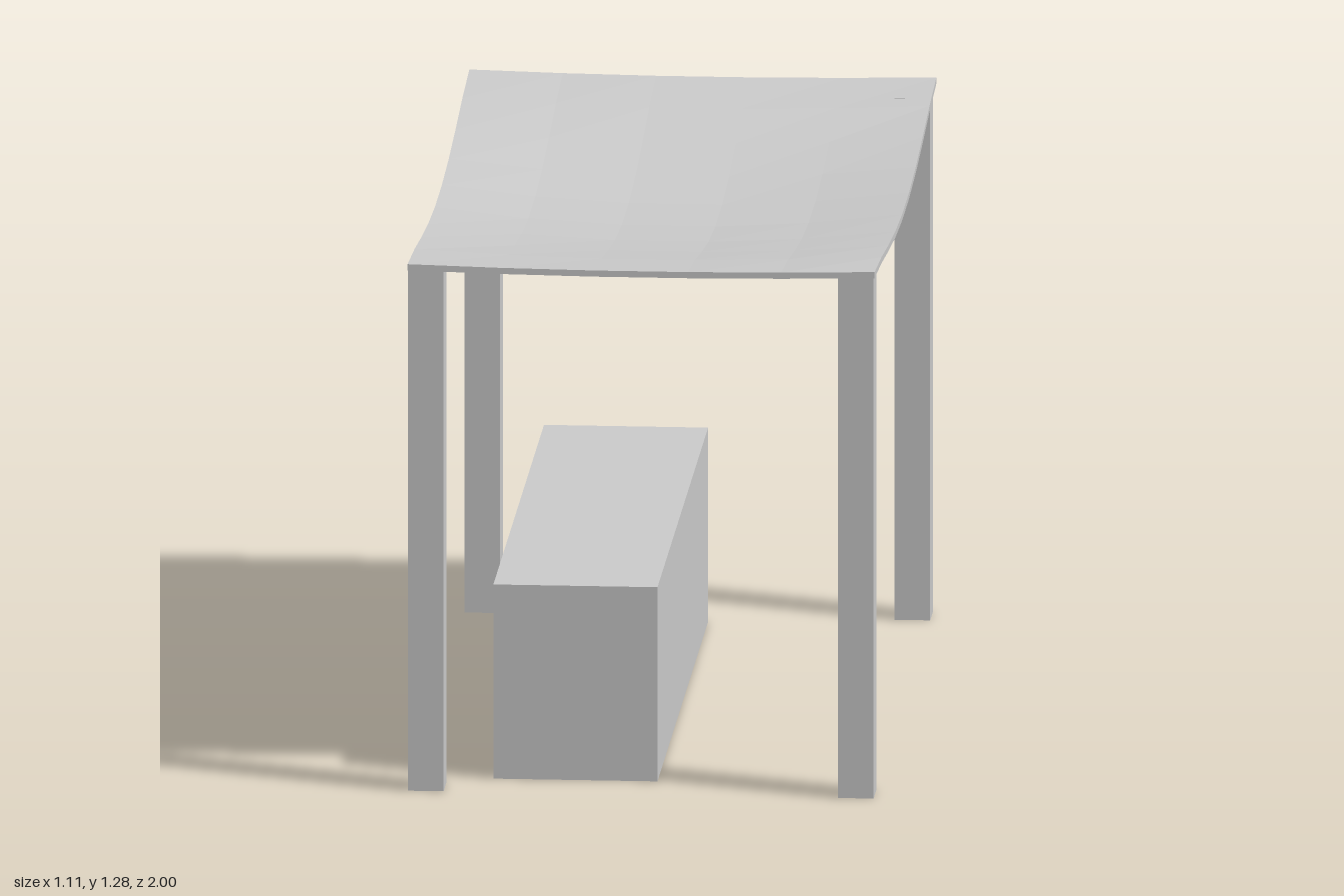
import * as THREE from 'three';

const material = new THREE.MeshStandardMaterial({
  color: 0xcccccc, flatShading: true, side: THREE.DoubleSide,
});

// Box standing on the ground, open at the bottom
function openBox(name, x0, x1, z0, z1, height) {
  const geo = new THREE.BoxGeometry(x1 - x0, height, z1 - z0);
  const index = Array.from(geo.index.array);
  index.splice(18, 6); // the fourth side is the underside
  geo.setIndex(index);
  geo.clearGroups();
  const mesh = new THREE.Mesh(geo, material);
  mesh.name = name;
  mesh.position.set((x0 + x1) / 2, height / 2, (z0 + z1) / 2);
  return mesh;
}

// Thin slab sagging towards its middle, with gently raised corners
function saggingRoof() {
  const halfX = 0.555, thickness = 0.015;
  const geo = new THREE.BoxGeometry(halfX * 2, thickness, 2, 5, 1, 9);
  const pos = geo.attributes.position;
  for (let i = 0; i < pos.count; i++) {
    const u2 = (pos.getX(i) / halfX) ** 2;
    const v2 = Math.min(1, pos.getZ(i) ** 2);
    const sag = (1 - v2) ** 1.6;
    const top = 1.277 + 0.008 * u2 - sag * (0.103 - 0.031 * u2);
    pos.setY(i, pos.getY(i) > 0 ? top : top - thickness);
  }
  geo.computeVertexNormals();
  const mesh = new THREE.Mesh(geo, material);
  mesh.name = 'roof';
  return mesh;
}

export function createModel() {
  const group = new THREE.Group();
  group.name = 'shelter';
  group.add(saggingRoof());

  // Four corner posts
  for (const [side, x0, x1] of [['Right', -0.555, -0.47], ['Left', 0.467, 0.552]]) {
    group.add(openBox('frontPost' + side, x0, x1, 0.905, 0.99, 1.271));
    group.add(openBox('backPost' + side, x0, x1, -0.925, -0.84, 1.271));
  }

  // Long block under the roof
  group.add(openBox('block', -0.362, 0.028, -0.787, 0.852, 0.473));
  return group;
}
